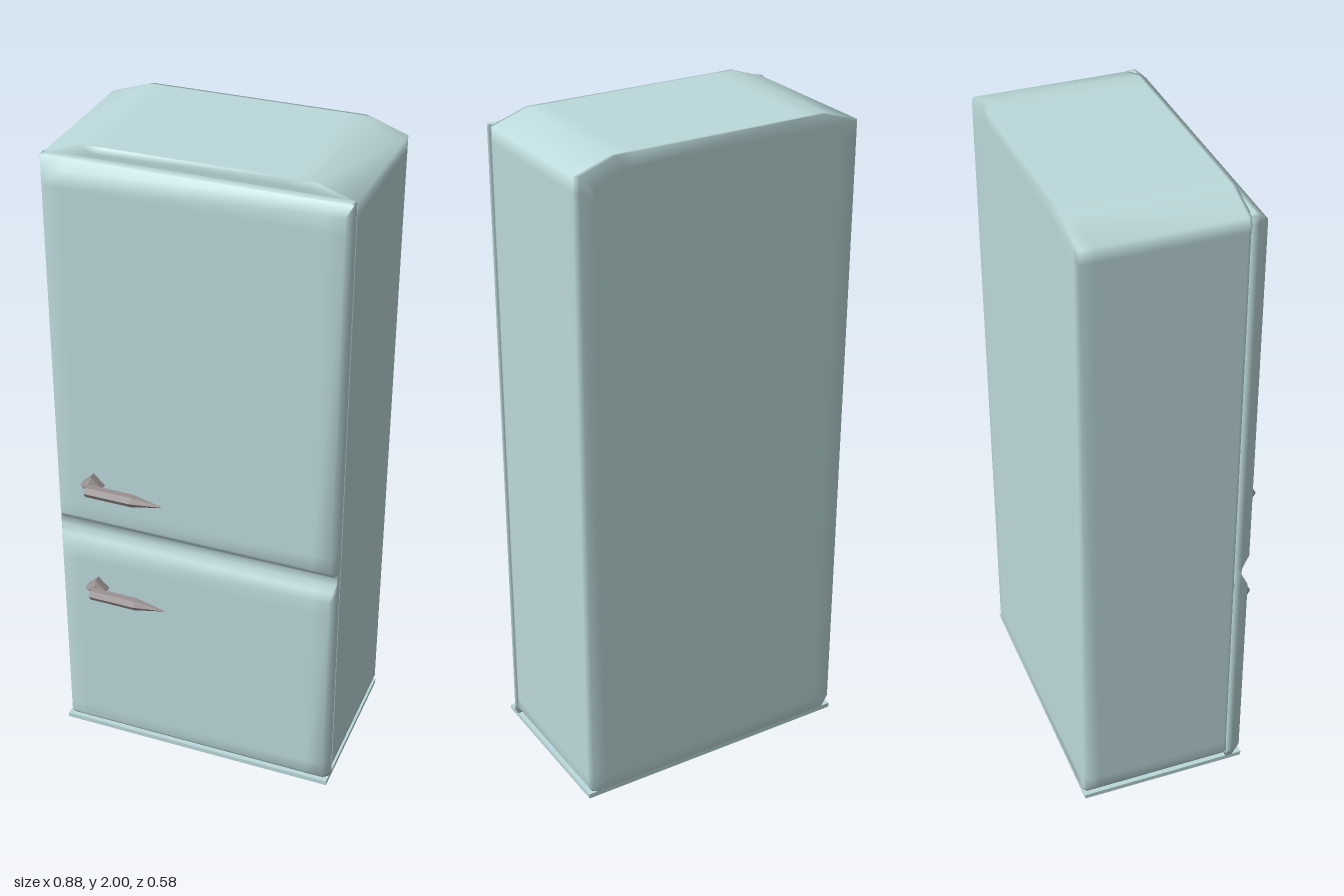
import * as THREE from 'three';

const enamel = new THREE.MeshStandardMaterial({ color: 0xbcd9db });
const metal = new THREE.MeshStandardMaterial({ color: 0x9a9292, flatShading: true });

// Smooth closed skin through equal-length loops (counterclockwise about the stacking direction)
function skin(loops) {
  const n = loops[0].length;
  const positions = loops.flat(2);
  const index = [];
  for (let i = 0; i < loops.length - 1; i++) {
    for (let j = 0; j < n; j++) {
      const k = (j + 1) % n;
      const a = i * n + j, b = i * n + k, c = b + n, d = a + n;
      index.push(a, b, c, a, c, d);
    }
  }
  const last = (loops.length - 1) * n;
  for (let j = 1; j < n - 1; j++) {
    index.push(0, j + 1, j, last, last + j, last + j + 1);
  }
  const geometry = new THREE.BufferGeometry();
  geometry.setAttribute('position', new THREE.Float32BufferAttribute(positions, 3));
  geometry.setIndex(index);
  geometry.computeVertexNormals();
  return geometry;
}

function add(parent, name, geometry, material) {
  const mesh = new THREE.Mesh(geometry, material);
  mesh.name = name;
  parent.add(mesh);
  return mesh;
}

// Cabinet: front outline with sloped top shoulders, stacked along z
function cabinetGeometry() {
  const half = [[0.38, 0.015], [0.425, 0.015], [0.44, 0.04], [0.44, 0.08], [0.44, 1.92], [0.44, 1.963], [0.33, 2], [0.27, 2]];
  const outline = [...half, ...half.map(([x, y]) => [-x, y]).reverse()];
  const loop = (z, narrow, shrink = 0) => outline.map(([x, y]) =>
    [x * (1 - narrow / 0.44), 1 + (y - 1) * (1 - shrink), z]);
  return skin([
    loop(-0.29, 0.06, 0.04), loop(-0.29, 0.015), loop(-0.28, 0), loop(-0.24, 0),
    loop(0.17, 0), loop(0.18, 0), loop(0.18, 0.04, 0.02),
  ]);
}

// Door front: side profile rows [y, front z, edge bevel], stacked along y
function doorGeometry() {
  const rows = [
    [0.015, 0.215, 0.015], [0.035, 0.23, 0.015], [0.08, 0.23, 0.015],
    [0.66, 0.23, 0.015], [0.71, 0.23, 0.015], [0.735, 0.215, 0.01],
    [0.76, 0.203, 0.003], [0.785, 0.203, 0.003], [0.8, 0.215, 0.01],
    [0.82, 0.23, 0.015], [0.87, 0.23, 0.015], [1.89, 0.23, 0.015],
    [1.94, 0.23, 0.015], [1.965, 0.203, 0.003],
  ];
  const loops = rows.map(([y, z, bevel]) => {
    const half = [[0.37, z], [0.44 - bevel, z], [0.44, Math.min(0.2, z)], [0.44, 0.178]];
    return [...half, ...half.map(([x, w]) => [-x, w]).reverse()].map(([x, w]) => [x, y, w]);
  });
  // Flat top ledge
  loops.push(loops[loops.length - 1].map(([x, , z]) => [x * 0.98, 1.968, Math.min(z, 0.195)]));
  return skin(loops);
}

// Handle: diamond mount carrying a pointed six-sided bar
function createHandle(name, y) {
  const handle = new THREE.Group();
  handle.name = name;
  const mount = new THREE.CylinderGeometry(0.035, 0.035, 0.03, 4).rotateX(Math.PI / 2);
  add(handle, 'handleMount', mount, metal).position.z = 0.237;
  const cap = new THREE.CylinderGeometry(0.02, 0.035, 0.009, 4).rotateX(Math.PI / 2);
  add(handle, 'handleMountCap', cap, metal).position.z = 0.2565;
  const bar = new THREE.CylinderGeometry(0.019, 0.019, 0.145, 6).rotateZ(-Math.PI / 2);
  add(handle, 'handleBar', bar, metal).position.set(0.0675, 0, 0.274);
  const tip = new THREE.ConeGeometry(0.019, 0.1, 6, 1, true).rotateZ(-Math.PI / 2);
  add(handle, 'handleTip', tip, metal).position.set(0.19, 0, 0.274);
  handle.position.set(-0.31, y, 0);
  return handle;
}

export function createModel() {
  const fridge = new THREE.Group();
  fridge.name = 'refrigerator';
  add(fridge, 'cabinet', cabinetGeometry(), enamel);
  add(fridge, 'doors', doorGeometry(), enamel);
  // Thin base plate reaching slightly past the bevelled edges
  add(fridge, 'basePlate', new THREE.BoxGeometry(0.88, 0.015, 0.52), enamel).position.set(0, 0.0075, -0.03);
  fridge.add(createHandle('upperDoorHandle', 0.953), createHandle('lowerDoorHandle', 0.573));
  return fridge;
}
